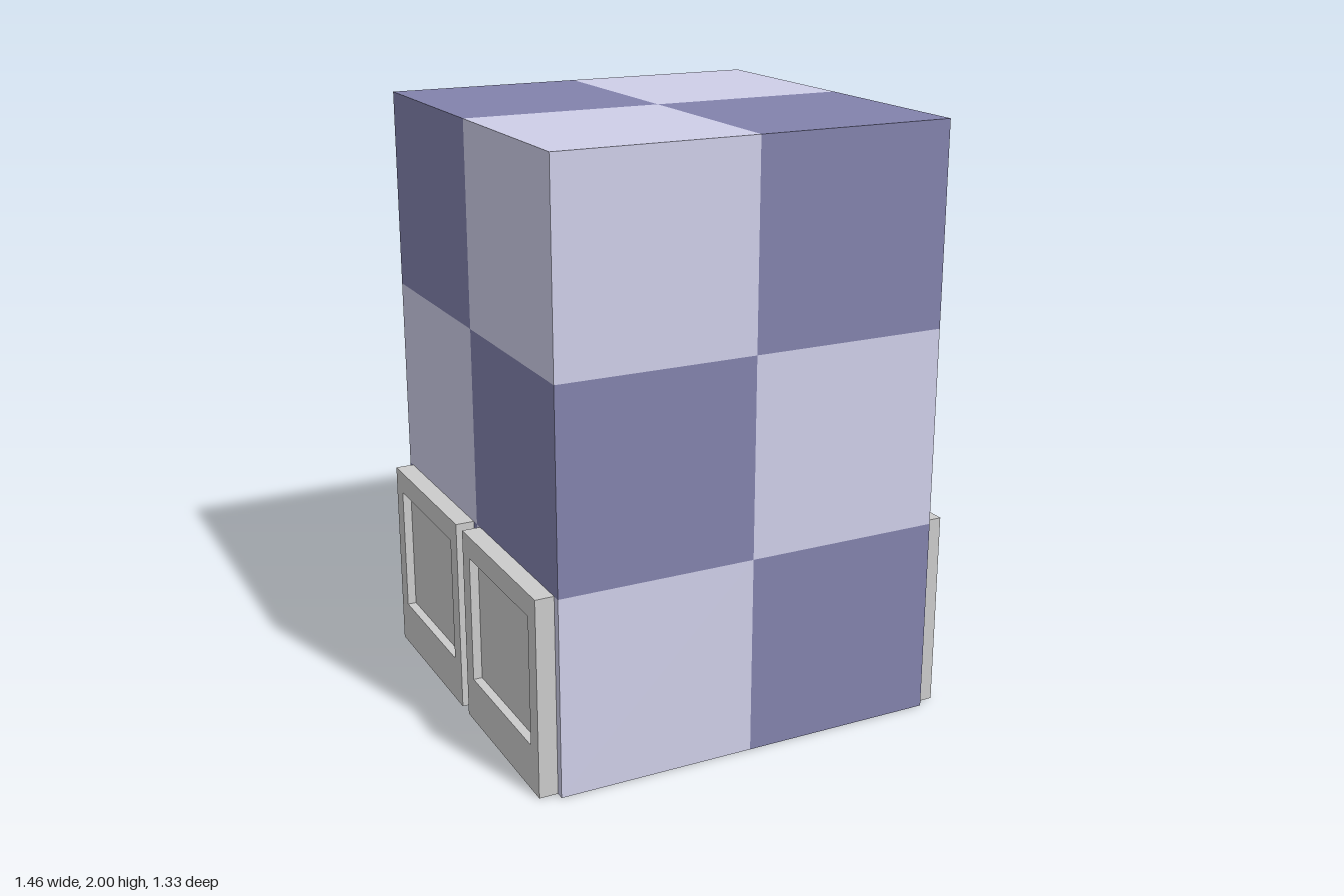
import * as THREE from 'three';

const CELL = 2 / 3;
const PANEL = { width: 0.61, height: CELL, depth: 0.063, recess: 0.03 };

export function createModel() {
  const model = new THREE.Group();
  const light = new THREE.MeshStandardMaterial({ color: 0xcecee8 });
  const dark = new THREE.MeshStandardMaterial({ color: 0x8282ac });
  const grey = new THREE.MeshStandardMaterial({ color: 0xcccccc });

  // Body: 2 x 3 x 2 blocks in alternating colours
  const body = new THREE.Group();
  body.name = 'checkeredBody';
  const blockGeometry = new THREE.BoxGeometry(CELL, CELL, CELL);
  for (let i = 0; i < 2; i++)
    for (let j = 0; j < 3; j++)
      for (let k = 0; k < 2; k++) {
        const block = new THREE.Mesh(blockGeometry, (i + j + k) % 2 ? light : dark);
        block.name = 'block';
        block.position.set((i - 0.5) * CELL, (j + 0.5) * CELL, (k - 0.5) * CELL);
        body.add(block);
      }
  model.add(body);

  // Panel frame: rectangle with a window, extruded outwards
  const { width, height, depth, recess } = PANEL;
  const outline = new THREE.Shape([
    new THREE.Vector2(-width / 2, 0), new THREE.Vector2(width / 2, 0),
    new THREE.Vector2(width / 2, height), new THREE.Vector2(-width / 2, height),
  ]);
  outline.holes.push(new THREE.Path([
    new THREE.Vector2(-0.245, 0.155), new THREE.Vector2(-0.245, 0.59),
    new THREE.Vector2(0.245, 0.59), new THREE.Vector2(0.245, 0.155),
  ]));
  const frameGeometry = new THREE.ExtrudeGeometry(outline, { depth: recess, bevelEnabled: false });
  frameGeometry.translate(0, 0, depth - recess);
  const backingGeometry = new THREE.BoxGeometry(width, height, depth - recess);
  backingGeometry.translate(0, height / 2, (depth - recess) / 2);

  // Two recessed panels on each side of the lowest row
  for (const side of [-1, 1])
    for (const end of [-1, 1]) {
      const panel = new THREE.Group();
      panel.name = (side > 0 ? 'left' : 'right') + (end > 0 ? 'Front' : 'Back') + 'Panel';
      const frame = new THREE.Mesh(frameGeometry, grey);
      frame.name = 'panelFrame';
      const backing = new THREE.Mesh(backingGeometry, grey);
      backing.name = 'panelBacking';
      panel.add(frame, backing);
      panel.position.set(side * CELL, 0, end * CELL / 2);
      panel.rotation.y = side * Math.PI / 2;
      model.add(panel);
    }
  return model;
}
